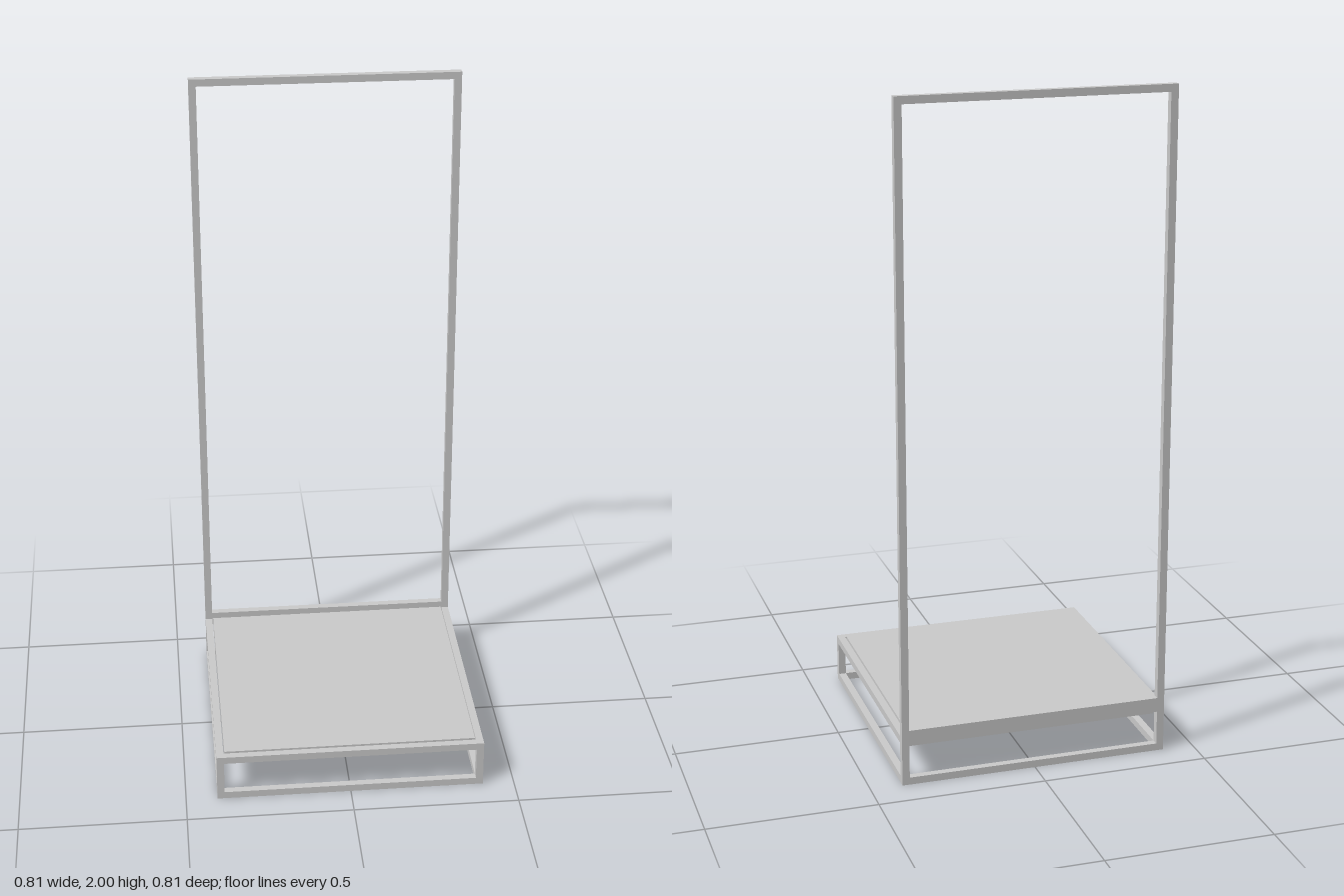
import * as THREE from 'three';

const T = 0.022;      // tube thickness
const W = 0.405;      // half width and half depth
const DECK = 0.148;   // top of base frame
const TOP = 2;

export function createModel() {
  const model = new THREE.Group();
  const material = new THREE.MeshStandardMaterial({ color: 0xcccccc });

  // Box given by its minimum and maximum corners
  function bar(parent, name, [x0, y0, z0], [x1, y1, z1]) {
    const mesh = new THREE.Mesh(new THREE.BoxGeometry(x1 - x0, y1 - y0, z1 - z0), material);
    mesh.position.set((x0 + x1) / 2, (y0 + y1) / 2, (z0 + z1) / 2);
    mesh.name = name;
    parent.add(mesh);
  }

  // Base: two horizontal rings joined by four short legs
  const base = new THREE.Group();
  base.name = 'baseFrame';
  for (const [label, y] of [['lower', 0], ['upper', DECK - T]]) {
    bar(base, label + 'BackRail', [-W, y, -W], [W, y + T, -W + T]);
    bar(base, label + 'FrontRail', [-W, y, W - T], [W, y + T, W]);
    bar(base, label + 'RightRail', [-W, y, -W + T], [-W + T, y + T, W - T]);
    bar(base, label + 'LeftRail', [W - T, y, -W + T], [W, y + T, W - T]);
  }
  for (const x of [-W, W - T]) {
    for (const z of [-W, W - T]) {
      bar(base, 'leg', [x, T, z], [x + T, DECK - T, z + T]);
    }
  }
  model.add(base);

  // Platform panel set inside the upper ring with a narrow gap
  const P = W - T - 0.003;
  bar(model, 'platformPanel', [-P, 0.11, -P], [P, 0.152, P]);

  // Tall rectangular frame standing on the back rail
  const back = new THREE.Group();
  back.name = 'backFrame';
  for (const x of [-W, W - T]) {
    bar(back, 'post', [x, DECK, -W], [x + T, TOP, -W + T]);
  }
  bar(back, 'bottomRail', [-W + T, DECK, -W], [W - T, DECK + T, -W + T]);
  bar(back, 'topRail', [-W + T, TOP - T, -W], [W - T, TOP, -W + T]);
  model.add(back);

  return model;
}
